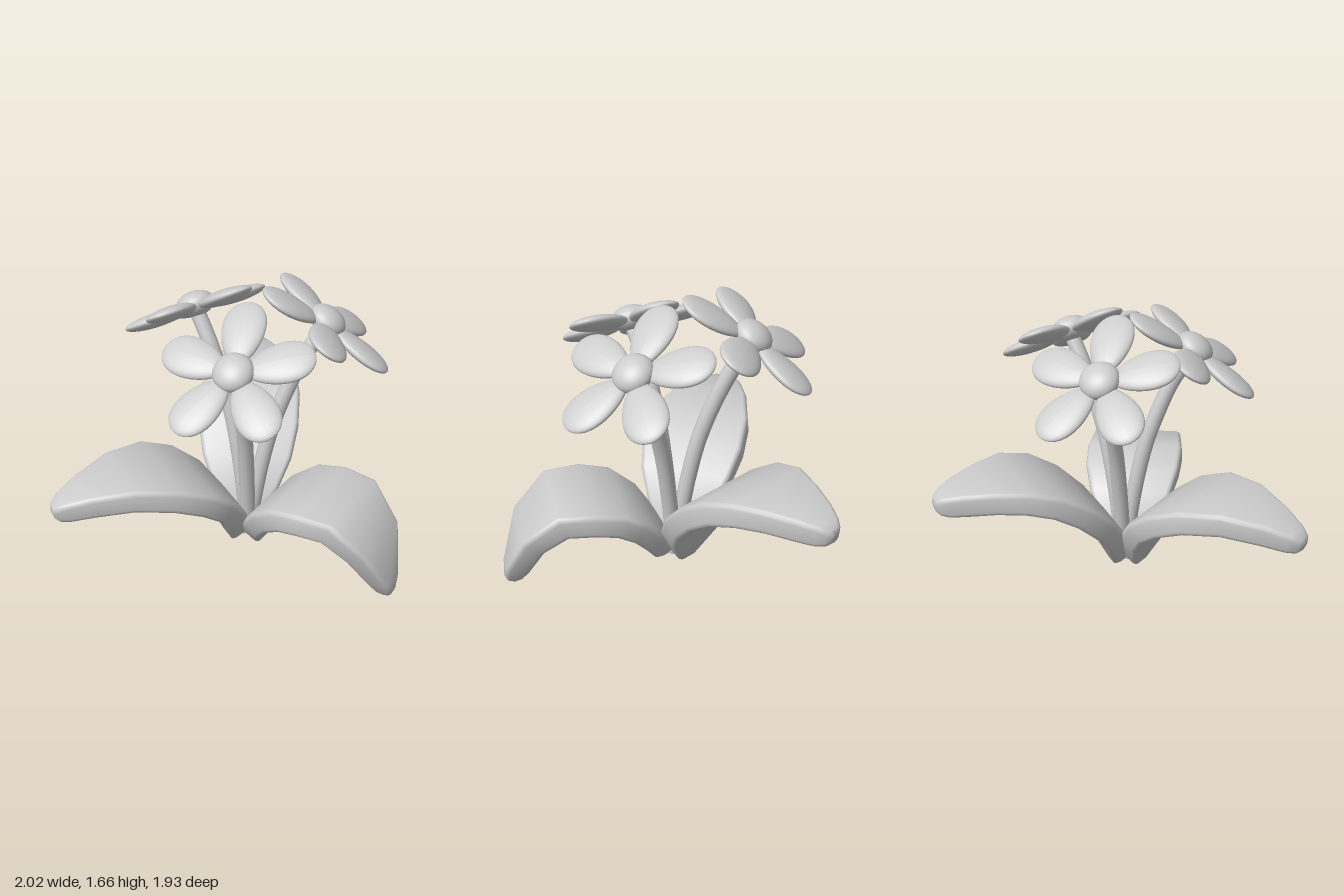
import * as THREE from 'three';
import { toCreasedNormals } from 'three/addons/utils/BufferGeometryUtils.js';

const clay = new THREE.MeshStandardMaterial({ color: 0xcccccc });
clay.name = 'light grey';
const rad = THREE.MathUtils.degToRad;

// Adds a named mesh to a parent
function add(parent, name, geometry) {
  const mesh = new THREE.Mesh(geometry, clay);
  mesh.name = name;
  parent.add(mesh);
  return mesh;
}

// Thick slab swept along a path of [distance, height, halfWidth, halfThickness], with rounded edges
function leafGeometry(path) {
  const steps = 3, n = 4 * (steps + 1);
  const pos = [], index = [];
  const pts = path.map(([r, y]) => new THREE.Vector2(r, y));
  const last = pts.length - 1;
  pts.forEach((p, i) => {
    const before = p.clone().sub(pts[Math.max(i - 1, 0)]).normalize();
    const after = pts[Math.min(i + 1, last)].clone().sub(p).normalize();
    const t = before.clone().add(after).normalize();
    const miter = i > 0 && i < last ? 1 / t.dot(after) : 1;
    const [, , w, half = 0.07] = path[i];
    const bevel = Math.min(0.028, w * 0.9, half * 0.9);
    for (let corner = 0; corner < 4; corner++) {
      const sn = corner === 0 || corner === 3 ? 1 : -1;
      const sz = corner < 2 ? 1 : -1;
      for (let k = 0; k <= steps; k++) {
        const a = (corner + k / steps) * Math.PI / 2;
        const up = (sn * (half - bevel) + bevel * Math.cos(a)) * miter;
        const side = sz * (w - bevel) + bevel * Math.sin(a);
        pos.push(p.x - t.y * up, p.y + t.x * up, side);
      }
    }
  });
  for (let i = 0; i < last; i++) {
    for (let j = 0; j < n; j++) {
      const a = i * n + j, b = i * n + (j + 1) % n;
      index.push(a, b, b + n, a, b + n, a + n);
    }
  }
  // End caps
  for (let j = 1; j < n - 1; j++) {
    index.push(0, j + 1, j);
    index.push(last * n, last * n + j, last * n + j + 1);
  }
  const g = new THREE.BufferGeometry();
  g.setAttribute('position', new THREE.Float32BufferAttribute(pos, 3));
  g.setIndex(index);
  return toCreasedNormals(g, 0.95);
}

// Flattened egg, wider towards its outer end
function petalGeometry() {
  const g = new THREE.SphereGeometry(1, 28, 18);
  g.rotateZ(-Math.PI / 2);
  const p = g.attributes.position;
  for (let i = 0; i < p.count; i++) {
    const x = p.getX(i);
    p.setXYZ(i, 0.248 + 0.192 * x, p.getY(i) * 0.042, p.getZ(i) * 0.12 * (1 + 0.22 * x));
  }
  g.computeVertexNormals();
  return g;
}

export function createModel() {
  const model = new THREE.Group();
  model.name = 'flowerPlant';

  // Three arching leaves, turned to an angle measured from x towards z
  const leaves = [
    ['leftLeaf', 180, [[0.03, 0.05, 0.03, 0.05], [0.05, 0.085, 0.07], [0.14, 0.28, 0.2], [0.24, 0.42, 0.27],
      [0.38, 0.535, 0.305], [0.565, 0.62, 0.295], [0.79, 0.65, 0.228], [1.0, 0.618, 0.14], [1.13, 0.583, 0.08, 0.065],
      [1.18, 0.567, 0.05, 0.052], [1.197, 0.561, 0.025, 0.03]]],
    ['backLeaf', -60, [[0.03, 0.05, 0.03, 0.05], [0.05, 0.085, 0.07], [0.14, 0.28, 0.2], [0.24, 0.425, 0.27],
      [0.38, 0.57, 0.305], [0.54, 0.68, 0.307], [0.71, 0.735, 0.275], [0.87, 0.738, 0.205], [1.02, 0.724, 0.135],
      [1.11, 0.709, 0.085, 0.065], [1.15, 0.702, 0.055, 0.052], [1.168, 0.698, 0.03, 0.03]]],
    ['frontLeaf', 60, [[0.06, 0.045, 0.03, 0.05], [0.075, 0.08, 0.07], [0.15, 0.22, 0.18], [0.24, 0.345, 0.25],
      [0.365, 0.44, 0.29], [0.52, 0.478, 0.3], [0.69, 0.478, 0.278], [0.853, 0.33, 0.21], [0.94, 0.1, 0.08, 0.068],
      [0.962, 0.035, 0.045, 0.052], [0.97, 0.008, 0.022, 0.03]]],
  ];
  for (const [name, angle, path] of leaves) {
    const leaf = add(model, name, leafGeometry(path));
    leaf.position.set(0.2, 0, 0.05);
    leaf.rotation.y = -rad(angle);
  }

  // Small root block joining the stems
  add(model, 'rootBlock', new THREE.BoxGeometry(0.08, 0.06, 0.08)).position.set(0.21, 0.08, 0.05);

  // Three like flowers, each turned a third of a circle from the last
  const petal = petalGeometry();
  const flowers = [
    ['rightFlower', [0.646, 1.404, 0.126], 0],
    ['frontFlower', [-0.048, 1.375, 0.368], 120],
    ['backFlower', [0.074, 1.412, -0.348], 240],
  ];
  for (const [name, [x, y, z], turn] of flowers) {
    const flower = new THREE.Group();
    flower.name = name;

    // Stem arching out from the root to the head
    const points = [[0.02, 0.07], [0.09, 0.3], [0.19, 0.55], [0.33, 0.8], [0.5, 1.0], [0.72, 1.2], [0.99, y - 0.02]];
    const curve = new THREE.CatmullRomCurve3(points.map(([s, h]) =>
      new THREE.Vector3(0.225 + (x - 0.225) * s, h, 0.05 + (z - 0.05) * s)));
    add(flower, 'stem', new THREE.TubeGeometry(curve, 24, 0.046, 12));

    // Head leaning outward, with a domed centre and five petals
    const head = new THREE.Group();
    head.name = 'flowerHead';
    head.position.set(x, y, z);
    const direction = rad(turn + 23);
    const axis = new THREE.Vector3(Math.sin(direction), 0, -Math.cos(direction));
    head.quaternion.setFromAxisAngle(axis, rad(33.5));
    const dome = add(head, 'flowerCentre', new THREE.SphereGeometry(0.113, 24, 16));
    dome.scale.y = 0.65;
    dome.position.y = 0.02;
    for (let k = 0; k < 5; k++) {
      add(head, 'petal', petal).rotation.y = -rad(turn + 191.5 + 72 * k);
    }
    flower.add(head);
    model.add(flower);
  }
  return model;
}
